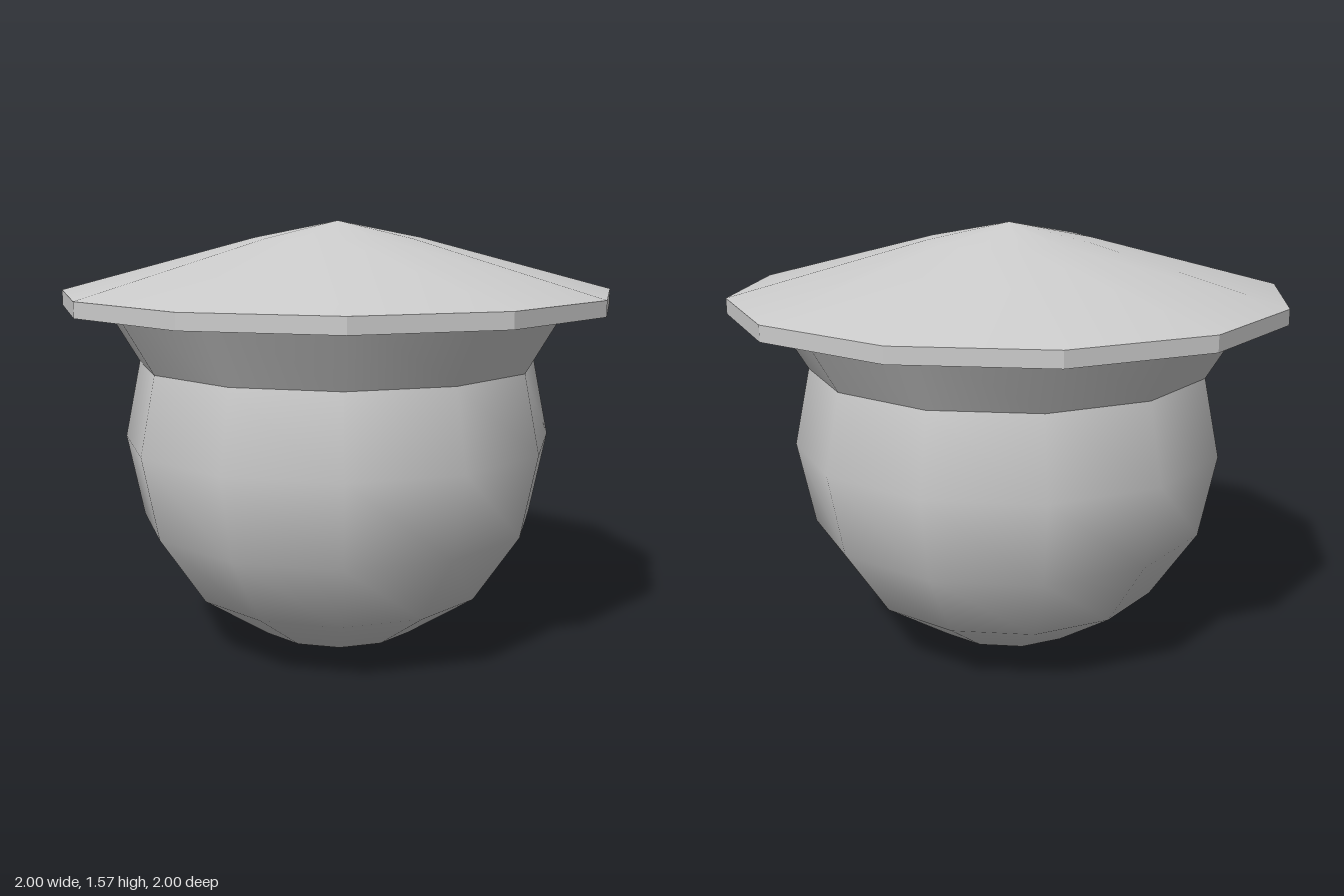
import * as THREE from 'three';
import { toCreasedNormals } from 'three/addons/utils/BufferGeometryUtils.js';

const SIDES = 12;
const material = new THREE.MeshStandardMaterial({ color: 0xcccccc });

// Turned part; profile runs from bottom to top as [radius, y]
function turned(name, profile, faceted = false) {
  const points = profile.map(([r, y]) => new THREE.Vector2(r, y));
  let geometry = new THREE.LatheGeometry(points, SIDES);
  if (faceted) geometry = toCreasedNormals(geometry, THREE.MathUtils.degToRad(20));
  const mesh = new THREE.Mesh(geometry, material);
  mesh.name = name;
  return mesh;
}

export function createModel() {
  const model = new THREE.Group();
  model.name = 'roundPotWithLid';

  // Round bowl: lower rings of a coarse sphere, ending at the neck
  const R = 0.785;
  const bowl = [];
  for (let i = 0; i <= 4; i++) {
    const a = (i * Math.PI) / 8;
    bowl.push([R * Math.sin(a), R * (1 - Math.cos(a))]);
  }
  bowl.push([0.727, 1.064]);
  model.add(turned('bowl', bowl));

  // Collar flaring up under the lid
  model.add(turned('collar', [[0.727, 1.064], [0.88, 1.32]]));

  // Lid rim: shallow inner wall, flat underside and outer edge
  model.add(turned('lidRim', [[0.88, 1.32], [0.88, 1.27], [1, 1.27], [1, 1.325]], true));

  // Low conical lid top
  model.add(turned('lidTop', [[1, 1.325], [0.3, 1.512], [0, 1.572]]));

  return model;
}
